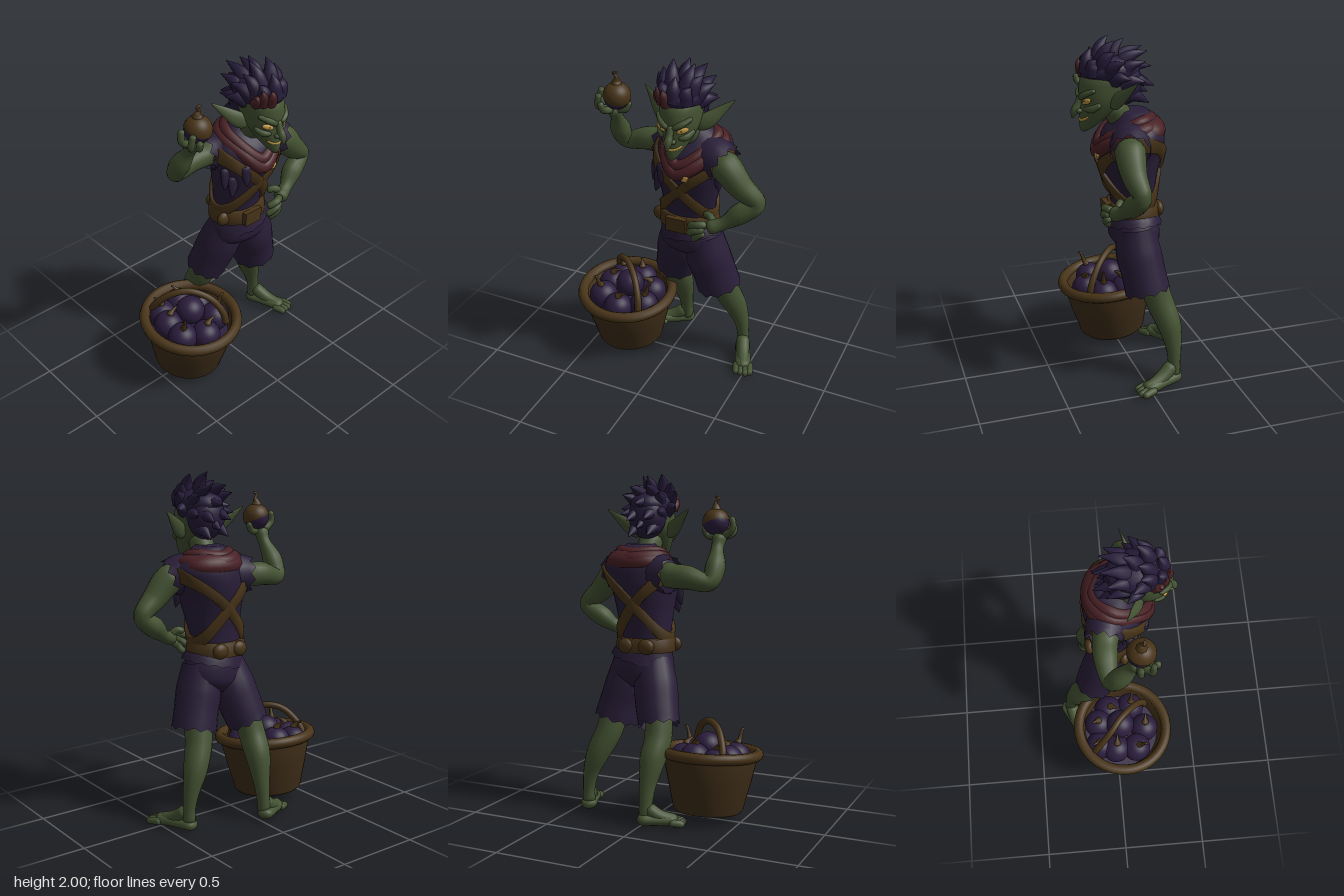
import * as THREE from 'three';
import { mergeVertices } from 'three/addons/utils/BufferGeometryUtils.js';

const V = (p) => new THREE.Vector3(p[0], p[1], p[2]);
const mat = (name, color) => Object.assign(new THREE.MeshStandardMaterial({ color, side: THREE.DoubleSide }), { name });

// Welds seams and gives smooth normals
function smooth(g) {
  g.deleteAttribute('uv');
  g.deleteAttribute('normal');
  const m = mergeVertices(g, 1e-5);
  m.computeVertexNormals();
  return m;
}

function mesh(parent, name, geo, material, pos = [0, 0, 0], scale = [1, 1, 1]) {
  const m = new THREE.Mesh(geo, material);
  m.name = name;
  m.position.set(...pos);
  m.scale.set(...scale);
  parent.add(m);
  return m;
}

// Swept tube through points [x, y, z, radius], with rounded ends or a ragged hem
function limb(parent, name, material, pts, o = {}) {
  const { closed = false, round = !closed, scale = [1, 1, 1], seg = 14, n = 28, jag = 0 } = o;
  const curve = new THREE.CatmullRomCurve3(pts.map(V), closed, 'catmullrom');
  const radii = new THREE.CatmullRomCurve3(pts.map((p) => V([p[3], 0, 0])), closed, 'catmullrom');
  const g = new THREE.TubeGeometry(curve, n, 1, seg, closed);
  const len = curve.getLength(), P = g.attributes.position, v = new THREE.Vector3();
  for (let i = 0; i <= n; i++) {
    const u = i / n, c = curve.getPointAt(u);
    let r = Math.max(radii.getPoint(curve.getUtoTmapping(u)).x, 0.002);
    if (round) {
      const d = Math.min(1, Math.min(u, 1 - u) * len / r);
      r *= Math.sqrt(1 - (1 - d) ** 2);
    }
    const tan = curve.getTangentAt(u);
    for (let j = 0; j <= seg; j++) {
      const k = i * (seg + 1) + j;
      v.fromBufferAttribute(P, k).sub(c).multiplyScalar(r);
      v.set(v.x * scale[0], v.y * scale[1], v.z * scale[2]).add(c);
      if (jag && i === n) v.addScaledVector(tan, j % 2 ? jag : 0);
      P.setXYZ(k, v.x, v.y, v.z);
    }
  }
  return mesh(parent, name, smooth(g), material);
}

// Stacked ellipses, rows of [y, cx, cz, rx, rz]
function loft(parent, name, material, rows, seg = 28, n = 28) {
  const mid = new THREE.CatmullRomCurve3(rows.map((r) => V([r[1], r[0], r[2]])), false, 'catmullrom');
  const rad = new THREE.CatmullRomCurve3(rows.map((r) => V([r[3], 0, r[4]])), false, 'catmullrom');
  const g = new THREE.CylinderGeometry(1, 1, 1, seg, n), P = g.attributes.position;
  for (let i = 0; i < P.count; i++) {
    const t = P.getY(i) + 0.5, c = mid.getPoint(t), r = rad.getPoint(t);
    P.setXYZ(i, c.x + P.getX(i) * r.x, c.y, c.z + P.getZ(i) * r.z);
  }
  return mesh(parent, name, smooth(g), material);
}

const TORSO = [[0.93, 0.11, 0, 0.16, 0.13], [1.05, 0.105, 0, 0.152, 0.12], [1.2, 0.115, 0.015, 0.172, 0.145],
  [1.35, 0.125, 0.025, 0.2, 0.185], [1.46, 0.145, 0.015, 0.225, 0.175], [1.54, 0.15, 0, 0.17, 0.13], [1.6, 0.14, 0.01, 0.08, 0.08]];

function torsoPoint(angle, y, off) {
  let i = 0;
  while (i < TORSO.length - 2 && TORSO[i + 1][0] < y) i++;
  const a = TORSO[i], b = TORSO[i + 1], t = (y - a[0]) / (b[0] - a[0]);
  const [cx, cz, rx, rz] = [1, 2, 3, 4].map((k) => a[k] + (b[k] - a[k]) * t);
  return [cx + Math.sin(angle) * (rx + off), y, cz + Math.cos(angle) * (rz + off)];
}

// Leather band that hugs the torso, its height given by a rule
function band(parent, name, material, yOf, width, off, seg = 48) {
  const pos = [], idx = [];
  const edges = [[-0.5, 0], [-0.46, off], [0.46, off], [0.5, 0]];
  for (let i = 0; i <= seg; i++) {
    const a = (i / seg) * Math.PI * 2;
    edges.forEach(([e, d]) => pos.push(...torsoPoint(a, yOf(a) + e * width, d)));
    if (i < seg) for (let k = 0; k < 3; k++) {
      const p = i * 4 + k;
      idx.push(p, p + 4, p + 1, p + 1, p + 4, p + 5);
    }
  }
  const g = new THREE.BufferGeometry();
  g.setAttribute('position', new THREE.Float32BufferAttribute(pos, 3));
  g.setIndex(idx);
  g.computeVertexNormals();
  return mesh(parent, name, g, material);
}

export function createModel() {
  const root = new THREE.Group();
  root.name = 'figureWithBasket';
  const skin = mat('green skin', 0x445232), cloth = mat('purple cloth', 0x291e38), hairMat = mat('violet hair', 0x261c3a);
  const red = mat('red scarf', 0x482024), leather = mat('brown leather', 0x483418), wicker = mat('dark wicker', 0x3e2d18);
  const fruitMat = mat('purple fruit', 0x2b1d3d), gold = mat('gold', 0xbd9644), dark = mat('dark pupil', 0x15100f);
  const group = (name) => { const g = new THREE.Group(); g.name = name; root.add(g); return g; };
  const ball = new THREE.SphereGeometry(1, 24, 16);

  // Vest, belt and straps
  const body = group('body');
  loft(body, 'vest', cloth, TORSO);
  limb(body, 'vestHem', cloth, [[0.11, 1.03, 0, 0.15], [0.12, 0.97, 0, 0.172], [0.13, 0.925, 0, 0.19]],
    { round: false, scale: [1, 1, 0.84], seg: 28, n: 6, jag: 0.012 });
  band(body, 'belt', leather, () => 1.015, 0.085, 0.025);
  for (const s of [-1, 1]) band(body, 'chestStrap', leather, (a) => 1.25 + 0.2 * s * Math.sin(a), 0.085, 0.02);
  mesh(body, 'buckle', new THREE.BoxGeometry(0.12, 0.085, 0.03), leather, [0.09, 1.015, 0.15]);
  for (const [x, z] of [[0.04, -0.135], [0.17, -0.135], [-0.045, 0.06]])
    mesh(body, 'pouch', ball, leather, [x, 1.015, z], [0.05, 0.045, 0.03]);
  mesh(body, 'brooch', new THREE.IcosahedronGeometry(0.028, 0), gold, [0.17, 1.365, 0.225], [1, 1.1, 0.5]);
  // Ragged armholes and open vest edges
  limb(body, 'rightArmhole', cloth, [[0.06, 1.43, 0, 0.13], [-0.01, 1.43, -0.035, 0.118], [-0.065, 1.425, -0.05, 0.105]],
    { round: false, seg: 18, n: 8, jag: 0.03 });
  limb(body, 'leftArmhole', cloth, [[0.24, 1.45, 0.04, 0.12], [0.3, 1.44, 0.07, 0.115], [0.34, 1.425, 0.085, 0.108]],
    { round: false, seg: 18, n: 8, jag: 0.03 });
  for (const [x, y, z, dx] of [[-0.05, 1.3, 0.08, -0.03], [0.3, 1.31, 0.07, 0.02], [-0.02, 1.25, 0.11, -0.03], [0.02, 1.33, 0.17, -0.01]])
    limb(body, 'vestTatter', cloth, [[x, y + 0.08, z, 0.04], [x + dx / 2, y, z + 0.01, 0.03], [x + dx, y - 0.06, z + 0.02, 0.004]],
      { seg: 8, n: 10, scale: [1, 1, 0.7] });

  // Scarf
  const scarf = group('scarf');
  mesh(scarf, 'scarfDrape', ball, red, [0.148, 1.495, -0.035], [0.19, 0.085, 0.13]);
  limb(scarf, 'scarfOuterFold', red, [[0.14, 1.51, -0.11, 0.05], [0.0, 1.52, -0.02, 0.045], [0.03, 1.45, 0.14, 0.042],
    [0.11, 1.37, 0.205, 0.04], [0.22, 1.43, 0.165, 0.042], [0.305, 1.51, 0.01, 0.045]], { closed: true, n: 48 });
  limb(scarf, 'scarfInnerFold', red, [[0.14, 1.54, -0.09, 0.04], [0.02, 1.55, 0.0, 0.036], [0.04, 1.48, 0.135, 0.034],
    [0.115, 1.415, 0.195, 0.034], [0.21, 1.47, 0.15, 0.034], [0.27, 1.55, 0.01, 0.036]], { closed: true, n: 48 });

  // Shorts
  const shorts = group('shorts');
  loft(shorts, 'shortsSeat', cloth, [[0.77, 0.12, -0.03, 0.1, 0.08], [0.83, 0.12, -0.01, 0.18, 0.135],
    [0.9, 0.12, -0.003, 0.188, 0.145], [0.98, 0.11, 0, 0.16, 0.135]]);
  limb(shorts, 'rightShortsLeg', cloth, [[0.05, 0.92, -0.01, 0.11], [0.02, 0.78, -0.05, 0.13], [-0.01, 0.66, -0.09, 0.127],
    [-0.035, 0.57, -0.12, 0.122]], { round: false, scale: [1, 1, 0.95], seg: 20, jag: 0.02 });
  limb(shorts, 'leftShortsLeg', cloth, [[0.2, 0.92, 0.01, 0.11], [0.225, 0.78, 0.0, 0.132], [0.26, 0.66, -0.02, 0.13],
    [0.285, 0.565, -0.035, 0.132]], { round: false, scale: [1, 1, 0.98], seg: 20, jag: 0.02 });

  // Legs and feet
  const foot = (g, ankle, heel, toe, spread) => {
    const m = V(heel).lerp(V(toe), 0.55);
    limb(g, 'foot', skin, [[...heel, 0.048], [m.x, 0.045, m.z, 0.048], [...toe, 0.05]], { scale: [1, 0.72, 1] });
    limb(g, 'instep', skin, [[...ankle, 0.042], [m.x, 0.065, m.z, 0.04], [...toe, 0.03]]);
    const d = V(toe).sub(V(heel)).setY(0).normalize();
    for (let i = 0; i < 4; i++) {
      const s = (i - 1.5) * spread, l = 0.05 - Math.abs(i - 1) * 0.008;
      const at = (k, y) => [toe[0] - d.z * s + d.x * k, y, toe[2] + d.x * s + d.z * k];
      limb(g, 'toe', skin, [[...at(-0.06, 0.035), 0.022], [...at(-0.01, 0.032), 0.022], [...at(l, 0.022), 0.02]], { seg: 8, n: 14 });
    }
  };
  const rl = group('rightLeg');
  limb(rl, 'rightShin', skin, [[-0.025, 0.66, -0.1, 0.08], [-0.045, 0.5, -0.15, 0.08], [-0.04, 0.38, -0.215, 0.075],
    [-0.03, 0.24, -0.262, 0.05], [-0.028, 0.12, -0.285, 0.038], [-0.03, 0.04, -0.29, 0.042]]);
  foot(rl, [-0.028, 0.12, -0.285], [0.01, 0.05, -0.325], [-0.2, 0.042, -0.21], 0.026);
  const ll = group('leftLeg');
  limb(ll, 'leftShin', skin, [[0.275, 0.66, -0.05, 0.08], [0.3, 0.5, -0.1, 0.08], [0.355, 0.36, -0.145, 0.07],
    [0.395, 0.24, -0.16, 0.048], [0.412, 0.13, -0.16, 0.036], [0.41, 0.04, -0.16, 0.042]]);
  foot(ll, [0.412, 0.13, -0.155], [0.395, 0.045, -0.205], [0.495, 0.035, 0.05], 0.027);

  // Arms and hands
  const fingers = (g, list, r) => list.forEach((f) =>
    limb(g, 'finger', skin, f.map((p, i) => [...p, r - i * 0.002]), { seg: 8, n: 14 }));
  const ra = group('rightArm');
  limb(ra, 'rightArmShape', skin, [[0.0, 1.44, -0.03, 0.085], [-0.1, 1.42, -0.05, 0.072], [-0.19, 1.415, -0.055, 0.068],
    [-0.31, 1.39, -0.04, 0.05], [-0.325, 1.48, 0.015, 0.058], [-0.312, 1.58, 0.075, 0.036], [-0.315, 1.66, 0.115, 0.05]], { n: 44 });
  fingers(ra, [[[-0.33, 1.64, 0.11], [-0.39, 1.69, 0.11], [-0.385, 1.76, 0.11]],
    [[-0.33, 1.64, 0.13], [-0.375, 1.67, 0.17], [-0.365, 1.75, 0.18]],
    [[-0.31, 1.64, 0.13], [-0.335, 1.66, 0.19], [-0.345, 1.71, 0.205]],
    [[-0.29, 1.64, 0.11], [-0.24, 1.65, 0.11], [-0.215, 1.7, 0.1]]], 0.022);
  const la = group('leftArm');
  limb(la, 'leftArmShape', skin, [[0.29, 1.455, 0.07, 0.085], [0.37, 1.405, 0.095, 0.085], [0.455, 1.315, 0.1, 0.07],
    [0.545, 1.225, 0.085, 0.05], [0.455, 1.15, 0.105, 0.06], [0.37, 1.085, 0.14, 0.038], [0.28, 1.05, 0.17, 0.05]], { n: 44 });
  fingers(la, [[[0.29, 1.075, 0.175], [0.235, 1.075, 0.2], [0.18, 1.05, 0.18]],
    [[0.28, 1.05, 0.185], [0.225, 1.035, 0.205], [0.175, 0.995, 0.18]],
    [[0.28, 1.03, 0.185], [0.24, 1.0, 0.195], [0.205, 0.955, 0.17]],
    [[0.32, 1.08, 0.15], [0.285, 1.11, 0.13], [0.245, 1.1, 0.11]]], 0.024);

  // Head
  const head = group('head');
  limb(head, 'neck', skin, [[0.13, 1.46, 0.02, 0.075], [0.128, 1.56, 0.08, 0.07], [0.125, 1.66, 0.14, 0.075]]);
  loft(head, 'face', skin, [[1.495, 0.125, 0.285, 0.012, 0.012], [1.52, 0.125, 0.265, 0.035, 0.042], [1.58, 0.125, 0.225, 0.07, 0.083],
    [1.66, 0.125, 0.185, 0.105, 0.12], [1.73, 0.125, 0.165, 0.114, 0.145], [1.8, 0.125, 0.15, 0.108, 0.14], [1.88, 0.125, 0.13, 0.06, 0.08]]);
  limb(head, 'nose', skin, [[0.125, 1.7, 0.295, 0.018], [0.125, 1.65, 0.315, 0.02], [0.125, 1.61, 0.335, 0.022], [0.125, 1.57, 0.35, 0.004]]);
  limb(head, 'grin', gold, [[0.068, 1.588, 0.272, 0.005], [0.09, 1.57, 0.29, 0.009], [0.125, 1.562, 0.302, 0.01],
    [0.16, 1.57, 0.29, 0.009], [0.182, 1.588, 0.272, 0.005]], { seg: 8 });
  for (const s of [-1, 1]) {
    const x = (d) => 0.125 + s * d;
    mesh(head, 'nostril', ball, skin, [x(0.02), 1.615, 0.315], [0.016, 0.014, 0.018]);
    mesh(head, 'eye', ball, gold, [x(0.063), 1.674, 0.284], [0.034, 0.016, 0.012]).rotation.set(0, s * 0.45, s * 0.35);
    mesh(head, 'pupil', ball, dark, [x(0.058), 1.674, 0.295], [0.006, 0.007, 0.004]);
    limb(head, 'brow', skin, [[x(0.012), 1.682, 0.305, 0.016], [x(0.055), 1.709, 0.295, 0.018], [x(0.1), 1.738, 0.245, 0.012]], { seg: 8 });
    limb(head, 'cheek', skin, [[x(0.035), 1.63, 0.29, 0.012], [x(0.07), 1.632, 0.26, 0.022], [x(0.1), 1.66, 0.215, 0.015]], { seg: 8 });
    limb(head, 'ear', skin, [[x(0.08), 1.65, 0.16, 0.034], [x(0.135), 1.685, 0.13, 0.044], [x(0.195), 1.737, 0.095, 0.028],
      [x(0.265), 1.8, 0.06, 0.003]], { scale: [1, 1, 0.35] });
  }

  // Long spikes swept up and back from the hairline
  const hair = group('hair');
  mesh(hair, 'hairCap', ball, hairMat, [0.125, 1.825, 0.135], [0.124, 0.085, 0.168]);
  mesh(hair, 'backHair', ball, hairMat, [0.125, 1.755, 0.06], [0.112, 0.13, 0.1]);
  const spike = (m, base, tip, r) => {
    const a = V(base), t = V(tip), b = a.clone().lerp(t, 0.5).add(new THREE.Vector3(0, 0.012, 0.012));
    limb(hair, 'hairSpike', m, [[...a, r], [...b, r * 0.68], [...t, 0.002]], { round: false, seg: 8, n: 12 });
  };
  // Mirrored spikes: half width, height and depth of the base, then of the tip
  const side = [[0.035, 1.86, 0.2, 0.06, 2.0, 0.13], [0.06, 1.84, 0.2, 0.115, 1.95, 0.14], [0.07, 1.81, 0.17, 0.165, 1.9, 0.1],
    [0.075, 1.78, 0.14, 0.175, 1.81, 0.07], [0.03, 1.85, 0.1, 0.05, 1.935, -0.06], [0.06, 1.81, 0.1, 0.115, 1.89, -0.03],
    [0.065, 1.76, 0.09, 0.125, 1.78, -0.03], [0.04, 1.77, 0.05, 0.055, 1.745, -0.1], [0.05, 1.7, 0.05, 0.06, 1.65, -0.07],
    [0.05, 1.82, 0.24, 0.085, 1.91, 0.235]];
  for (const [x, y, z, tx, ty, tz] of side) for (const s of [-1, 1])
    spike(hairMat, [0.125 + s * x, y, z], [0.125 + s * tx, ty - (s > 0 ? 0.01 : 0), tz], 0.05);
  for (const [y, z, ty, tz] of [[1.82, 0.26, 1.95, 0.24], [1.86, 0.14, 1.99, 0.06], [1.82, 0.08, 1.83, -0.1], [1.73, 0.04, 1.69, -0.08]])
    spike(hairMat, [0.125, y, z], [0.125, ty, tz], 0.05);
  for (const [x, tx, ty, z] of [[0.055, 0.03, 1.89, 0.245], [0.09, 0.075, 1.885, 0.27], [0.035, 0.0, 1.85, 0.22]])
    spike(red, [x, 1.8, z], [tx, ty, z + 0.025], 0.034);

  // Fruit held up in the right hand, its brown cap tilted
  const held = group('heldFruit');
  held.position.set(-0.285, 1.725, 0.12);
  mesh(held, 'fruitBottom', new THREE.SphereGeometry(0.076, 24, 12), fruitMat);
  mesh(held, 'fruitCap', new THREE.SphereGeometry(0.079, 24, 12, 0, Math.PI * 2, 0, Math.PI * 0.53), leather).rotation.set(0.25, 0, -0.3);
  limb(held, 'fruitStem', leather, [[0, 0.05, 0, 0.05], [0, 0.085, 0, 0.024], [0.005, 0.11, 0.005, 0.01], [-0.012, 0.135, 0.01, 0.008],
    [0.015, 0.145, 0.015, 0.007]], { seg: 8 });

  // Basket
  const basket = group('basket');
  basket.position.set(-0.295, 0.03, 0);
  basket.rotation.x = 0.1;
  const wall = [[0, 0.02], [0.19, 0.02], [0.205, 0.035], [0.245, 0.2], [0.28, 0.36], [0.25, 0.36], [0.225, 0.26]];
  mesh(basket, 'basketWall', new THREE.LatheGeometry(wall.map((p) => new THREE.Vector2(...p)), 40), wicker);
  mesh(basket, 'basketRim', new THREE.TorusGeometry(0.278, 0.032, 10, 48), leather, [0, 0.365, 0]).rotation.x = Math.PI / 2;
  mesh(basket, 'basketFilling', new THREE.CylinderGeometry(0.235, 0.235, 0.02, 32), fruitMat, [0, 0.27, 0]);
  limb(basket, 'basketHandle', leather, [[-0.15, 0.33, -0.2, 0.022], [-0.14, 0.42, -0.17, 0.021], [-0.08, 0.52, -0.1, 0.02],
    [0.005, 0.55, -0.03, 0.02], [0.09, 0.51, 0.06, 0.02], [0.14, 0.42, 0.13, 0.021], [0.15, 0.33, 0.16, 0.022]], { n: 40 });
  // Heaped fruit with stems, two of them long and curled
  const heap = [[-0.13, 0.34, -0.05, 0], [-0.13, 0.34, 0.08, 0.05], [0.035, 0.35, -0.15, 0], [0.0, 0.33, 0.14, 0], [0.01, 0.4, -0.02, 0],
    [-0.1, 0.33, -0.15, 0], [0.14, 0.33, 0.06, 0.05], [0.13, 0.33, -0.08, 0]];
  heap.forEach(([x, y, z, up], i) => {
    mesh(basket, 'fruit', ball, fruitMat, [x, y, z], [0.088, 0.085, 0.088]);
    if (i === 4) return;
    const a = i * 2.1, dx = Math.cos(a) * 0.02, dz = Math.sin(a) * 0.02;
    limb(basket, 'stem', leather, [[x, y + 0.07, z, 0.034], [x + dx, y + 0.095, z + dz, 0.016],
      [x + dx * 2, y + 0.11 + up, z + dz * 2, 0.008], [x + dx * 3, y + 0.115 + up, z + dz * 3, 0.007]], { seg: 8, n: 14 });
  });
  return root;
}
